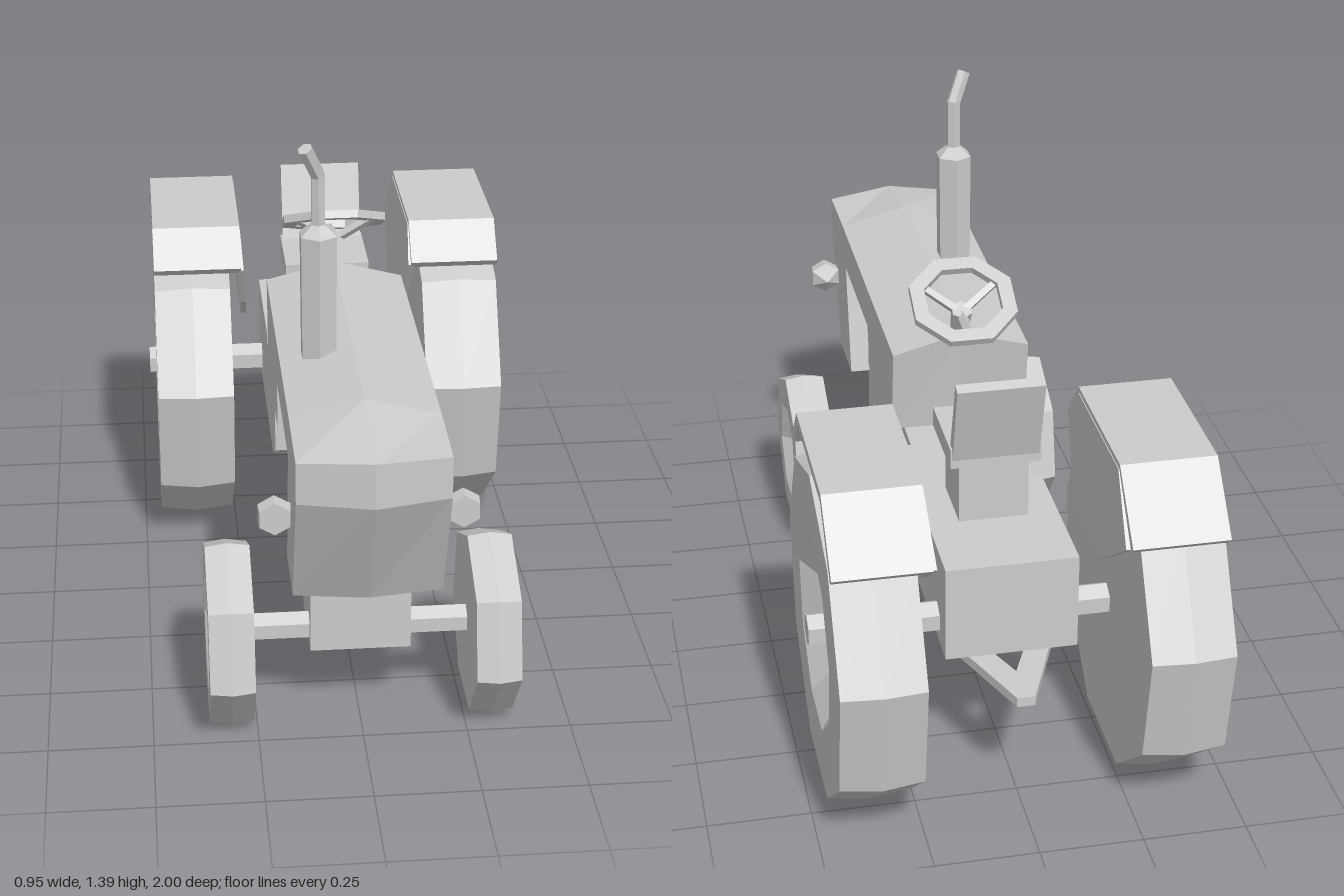
import * as THREE from 'three';

const material = new THREE.MeshStandardMaterial({ color: 0xcccccc, flatShading: true, side: THREE.DoubleSide });

export function createModel() {
  const root = new THREE.Group();

  const add = (name, geometry, x = 0, y = 0, z = 0, parent = root) => {
    const mesh = new THREE.Mesh(geometry, material);
    mesh.name = name;
    mesh.position.set(x, y, z);
    parent.add(mesh);
    return mesh;
  };
  const box = (name, w, h, d, x, y, z) => add(name, new THREE.BoxGeometry(w, h, d), x, y, z);

  // Side profile of [z, y] points, extruded across the width
  const sideExtrude = (points, width, steps = 1) => {
    const shape = new THREE.Shape(points.map(p => new THREE.Vector2(...p)));
    const g = new THREE.ExtrudeGeometry(shape, { depth: width, steps, bevelEnabled: false });
    return g.translate(0, 0, -width / 2).rotateY(-Math.PI / 2);
  };

  // Straight rod between two points
  const rod = (name, a, b, r0, r1, sides, parent = root) => {
    const from = new THREE.Vector3(...a), dir = new THREE.Vector3(...b).sub(from);
    const mesh = add(name, new THREE.CylinderGeometry(r1, r0, dir.length(), sides), 0, 0, 0, parent);
    mesh.position.copy(from).addScaledVector(dir, 0.5);
    mesh.quaternion.setFromUnitVectors(new THREE.Vector3(0, 1, 0), dir.normalize());
    return mesh;
  };

  // Hood: the middle line is raised into a crown and pushed forward at the nose
  const hood = sideExtrude([
    [0.835, 0.45], [0.96, 0.75], [0.96, 0.85], [0.75, 0.855], [-0.065, 0.855], [-0.03, 0.63],
    [0.33, 0.63], [0.33, 0.745], [0.71, 0.745], [0.65, 0.45]
  ], 0.345, 2);
  const pos = hood.attributes.position;
  for (let i = 0; i < pos.count; i++) {
    if (Math.abs(pos.getX(i)) > 0.01) continue;
    const y = pos.getY(i), z = pos.getZ(i);
    if (z > 0.8) pos.setZ(i, z + (y > 0.6 ? 0.04 : 0.025));
    if (y > 0.84) pos.setY(i, z > 0.8 ? 0.86 : 0.9);
  }
  hood.computeVertexNormals();
  add('hood', hood);

  // Engine and gearbox
  add('engine', sideExtrude([
    [0.67, 0.2], [0.67, 0.46], [0.72, 0.8], [0.04, 0.8], [0.04, 0.63], [0.28, 0.45], [0.45, 0.2]
  ], 0.24));
  box('driveHousing', 0.23, 0.14, 0.36, 0, 0.48, 0.18);
  add('gearbox', sideExtrude([
    [0.02, 0.41], [0.02, 0.55], [-0.26, 0.55], [-0.28, 0.6], [-0.68, 0.6], [-0.68, 0.355], [-0.07, 0.355]
  ], 0.32));

  // Axles
  const axle = (name, r, length, y, z) =>
    add(name, new THREE.CylinderGeometry(r, r, length, 6, 1, false, Math.PI / 2).rotateZ(Math.PI / 2), 0, y, z);
  axle('rearAxle', 0.04, 0.95, 0.411, -0.573);
  axle('frontAxle', 0.036, 0.68, 0.24, 0.613);

  // Wheels: lathed tyre with a sunken rim on the outer side
  const wheel = (name, sides, profile, x, y, z) => {
    const points = profile.map(p => new THREE.Vector2(...p));
    for (const s of [1, -1]) {
      const g = new THREE.LatheGeometry(points, sides, -Math.PI / 2).rotateZ(-Math.PI / 2);
      const mesh = add((s > 0 ? 'left' : 'right') + name, g, s * x, y, z);
      if (s < 0) mesh.rotation.y = Math.PI;
    }
  };
  wheel('RearWheel', 9, [
    [0, -0.1], [0.418, -0.1], [0.43, 0], [0.418, 0.1], [0.25, 0.1], [0.155, 0.04], [0, 0.06]
  ], 0.357, 0.411, -0.573);
  wheel('FrontWheel', 7, [
    [0, -0.053], [0.222, -0.053], [0.23, 0], [0.222, 0.053], [0.145, 0.053], [0.075, 0.01], [0, 0.02]
  ], 0.312, 0.24, 0.613);

  for (const s of [1, -1]) {
    const side = s > 0 ? 'left' : 'right';

    // Fender: bent sheet over the rear wheel with a leaning inner panel
    add(side + 'Fender', sideExtrude([
      [-0.895, 0.74], [-0.76, 0.885], [-0.37, 0.885], [-0.29, 0.795],
      [-0.31, 0.775], [-0.38, 0.86], [-0.75, 0.86], [-0.875, 0.722]
    ], 0.23), s * 0.342);
    const panel = sideExtrude([
      [-0.875, 0.73], [-0.755, 0.872], [-0.375, 0.872], [-0.3, 0.785], [-0.38, 0.66], [-0.47, 0.59],
      [-0.68, 0.59], [-0.78, 0.66]
    ], 0.015);
    const p = panel.attributes.position;
    for (let i = 0; i < p.count; i++) p.setX(i, p.getX(i) + s * (0.233 - (0.885 - p.getY(i)) * 0.06));
    panel.computeVertexNormals();
    add(side + 'FenderPanel', panel);

    // Headlight: flat front, tapering to the rear
    const lamp = new THREE.LatheGeometry(
      [[0, -0.035], [0.043, 0], [0.04, 0.035], [0, 0.035]].map(q => new THREE.Vector2(...q)), 6);
    add(side + 'Headlight', lamp.rotateX(Math.PI / 2), s * 0.213, 0.665, 0.832);
  }

  // Exhaust
  const ex = -0.08, ez = 0.438;
  add('muffler', new THREE.LatheGeometry(
    [[0.046, 0.86], [0.048, 1.175], [0.018, 1.2]].map(q => new THREE.Vector2(...q)), 6), ex, 0, ez);
  rod('exhaustPipe', [ex, 1.18, ez], [ex, 1.325, ez], 0.018, 0.018, 6);
  rod('exhaustTip', [ex, 1.318, ez], [ex - 0.032, 1.393, ez + 0.028], 0.018, 0.018, 6);

  // Steering wheel, tilted towards the driver
  const steering = new THREE.Group();
  steering.name = 'steeringWheel';
  steering.position.set(0, 1.003, -0.09);
  steering.rotation.x = -0.48;
  steering.rotation.x *= -1;
  steering.rotation.x = -steering.rotation.x;
  root.add(steering);
  const rim = new THREE.LatheGeometry(
    [[0.1, -0.01], [0.138, -0.01], [0.138, 0.01], [0.1, 0.01], [0.1, -0.01]].map(q => new THREE.Vector2(...q)),
    8, Math.PI / 8);
  add('steeringRim', rim, 0, 0, 0, steering);
  for (let i = 0; i < 3; i++) {
    const a = Math.PI + i * Math.PI * 2 / 3;
    rod('steeringSpoke', [0, -0.05, 0], [0.115 * Math.sin(a), 0, 0.115 * Math.cos(a)], 0.013, 0.011, 4, steering);
  }
  rod('steeringColumn', [0, -0.16, 0], [0, -0.035, 0], 0.02, 0.028, 6, steering);

  // Seat
  box('seatPedestal', 0.17, 0.2, 0.17, 0, 0.67, -0.38);
  box('seatCushion', 0.22, 0.05, 0.22, 0, 0.785, -0.378);
  add('seatBackrest', sideExtrude([[-0.45, 0.78], [-0.52, 1.0], [-0.545, 0.99], [-0.485, 0.77]], 0.21));

  // Hitch: V-shaped drawbar under the gearbox
  for (const s of [1, -1]) {
    const shape = new THREE.Shape([[0.13, 0.57], [0.022, 0.84], [0, 0.84], [0, 0.73], [0.07, 0.57]]
      .map(([x, z]) => new THREE.Vector2(s * x, z)));
    const arm = new THREE.ExtrudeGeometry(shape, { depth: 0.025, bevelEnabled: false }).rotateX(-Math.PI / 2);
    add('hitchArm', arm, 0, 0.31, 0);
    box('hitchMount', 0.04, 0.04, 0.06, s * 0.09, 0.345, -0.6);
  }
  return root;
}
